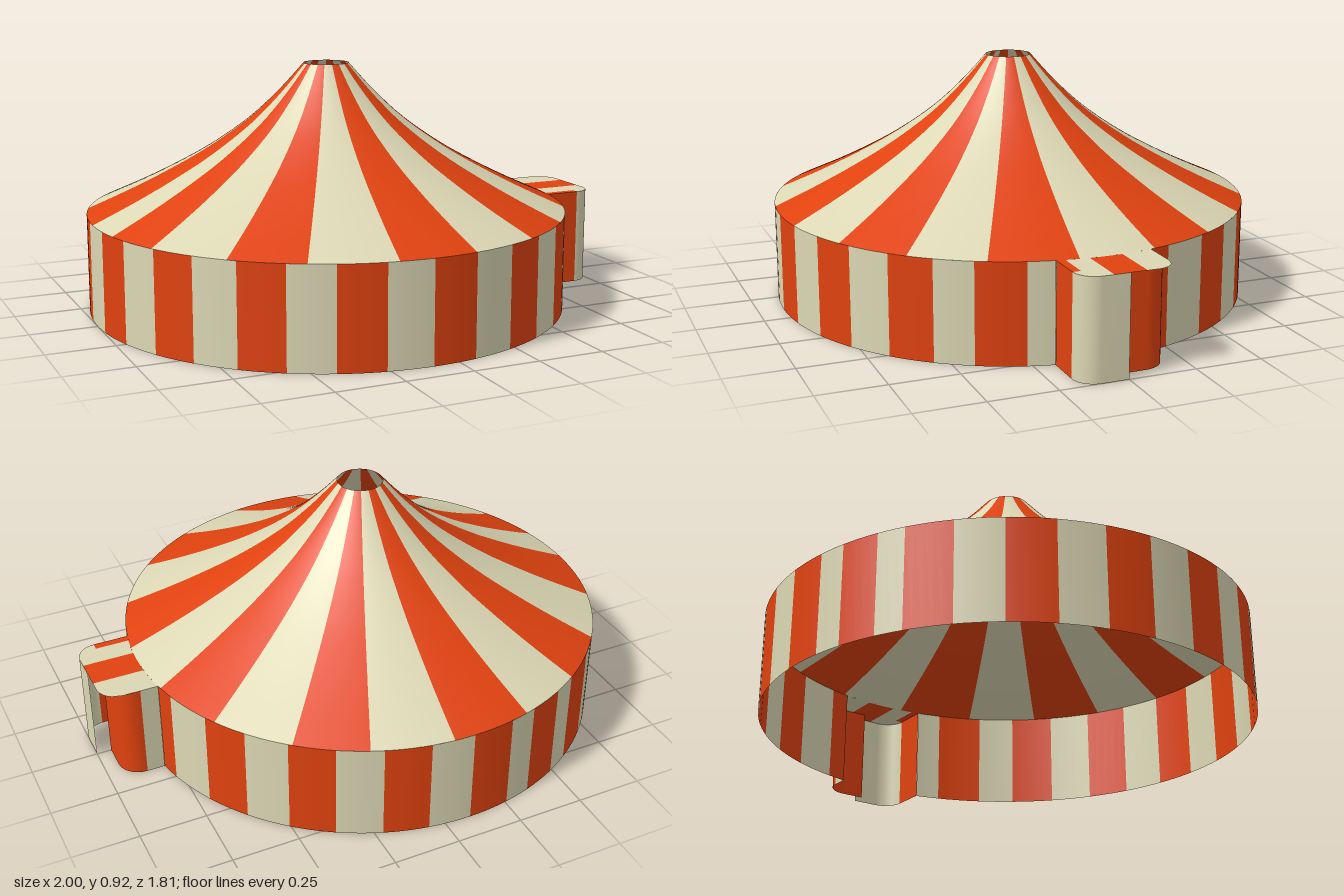
import * as THREE from 'three';

const CX = -0.095, R = 0.905, EAVE = 0.37;
const rad = THREE.MathUtils.degToRad;

export function createModel() {
  const red = new THREE.MeshStandardMaterial({ color: 0xe0420f, side: THREE.DoubleSide });
  red.name = 'red canvas';
  const cream = new THREE.MeshStandardMaterial({ color: 0xdcd7b4, side: THREE.DoubleSide });
  cream.name = 'cream canvas';

  const model = new THREE.Group();
  model.name = 'stripedTent';
  const group = (name) => {
    const g = new THREE.Group();
    g.name = name;
    model.add(g);
    return g;
  };
  const add = (parent, name, geometry, material) => {
    const mesh = new THREE.Mesh(geometry, material);
    mesh.name = name;
    parent.add(mesh);
    return mesh;
  };

  // One canvas stripe swept around the tent axis; 0 degrees faces the front
  const stripe = (parent, name, profile, from, to, material) => {
    const segments = Math.max(2, Math.ceil((to - from) / 2.5));
    const geo = new THREE.LatheGeometry(profile, segments, rad(from), rad(to - from));
    add(parent, name, geo, material).position.x = CX;
  };

  // Concave roof, open at the peak: edges alternate red start, red end
  const roof = group('roof');
  const roofProfile = new THREE.SplineCurve([
    [0.905, EAVE], [0.75, 0.44], [0.6, 0.515], [0.45, 0.6],
    [0.3, 0.705], [0.18, 0.815], [0.085, 0.92],
  ].map(([r, y]) => new THREE.Vector2(r, y))).getPoints(24);
  const roofEdges = [
    -14.5, 4.7, 23.5, 40.5, 59.7, 77.8, 96, 115.7, 133.6, 151.6, 169.8,
    188.1, 207.3, 224.5, 244, 258.8, 271.7, 291, 310, 327.5, 345.5,
  ].map((a) => 180 - a).reverse();
  for (let i = 0; i < roofEdges.length - 1; i++) {
    stripe(roof, 'roofStripe', roofProfile, roofEdges[i], roofEdges[i + 1], i % 2 ? red : cream);
  }

  // Round wall, with a gap where the entrance joins
  const wall = group('wall');
  const wallProfile = [new THREE.Vector2(R, 0), new THREE.Vector2(R, EAVE)];
  const reds = [[101.2, 106.2], [117.6, 128.2], [138.5, 149.1], [159.6, 170.1], [180.2, 190.3], [197, 206]];
  for (let i = 0; i < 10; i++) reds.push([212.4 + i * 21.05, 223 + i * 21.05]);
  reds.push([421.5, 432.7]);
  let last = 101.2;
  for (const [from, to] of reds) {
    if (from > last) stripe(wall, 'wallStripe', wallProfile, last, from, cream);
    stripe(wall, 'wallStripe', wallProfile, from, to, red);
    last = to;
  }
  stripe(wall, 'wallStripe', wallProfile, last, 438.8, cream);

  // Upright canvas following an [x, z] path
  const entrance = group('entrance');
  const ribbon = (name, path, material) => {
    const geo = new THREE.PlaneGeometry(1, 1, path.length - 1, 1);
    const p = geo.attributes.position;
    for (let i = 0; i < p.count; i++) {
      const [x, z] = path[i % path.length];
      p.setXYZ(i, x, i < path.length ? EAVE : 0, z);
    }
    geo.computeVertexNormals();
    add(entrance, name, geo, material);
  };
  const corner = (x, z, r, sign) => Array.from({ length: 11 }, (_, i) => {
    const a = (i / 10) * Math.PI / 2;
    return [x + r * Math.sin(a), sign * (z + r * Math.cos(a))];
  });
  const HALF = 0.175, JOIN = CX + Math.sqrt(R * R - HALF * HALF);
  ribbon('leftSideRedCanvas', [[JOIN, HALF], [0.925, HALF]], red);
  ribbon('outerDoorFlap', [...corner(0.925, 0.1, 0.075, 1), [1, 0]], cream);
  ribbon('rightSideCreamCanvas', [[JOIN, -HALF], [0.86, -HALF]], cream);
  ribbon('innerDoorFlap', [...corner(0.86, 0.09, 0.085, -1), [0.945, 0]], red);

  // Flat entrance roof with rounded outer corners, cut into strips
  const inner = (z) => CX + Math.sqrt(R * R - z * z);
  const outer = (z) => {
    const d = Math.max(0, Math.abs(z) - 0.1);
    return 0.925 + Math.sqrt(Math.max(0, 0.075 ** 2 - d * d));
  };
  const lid = (name, z0, z1, xa, xb, material) => {
    const n = 12;
    const geo = new THREE.PlaneGeometry(1, 1, 1, n);
    const p = geo.attributes.position;
    for (let i = 0; i < p.count; i++) {
      const z = z0 + (z1 - z0) * Math.floor(i / 2) / n;
      p.setXYZ(i, i % 2 ? xb(z) : xa(z), EAVE, z);
    }
    geo.computeVertexNormals();
    add(entrance, name, geo, material);
  };
  const split = () => 0.925;
  lid('entranceRoofCream', -HALF, -0.06, inner, outer, cream);
  lid('entranceRoofRed', -0.06, 0.06, inner, outer, red);
  lid('entranceRoofCream', 0.06, 0.145, inner, outer, cream);
  lid('entranceRoofRedEdge', 0.145, HALF, inner, split, red);
  lid('entranceRoofCorner', 0.145, HALF, split, outer, cream);

  return model;
}
